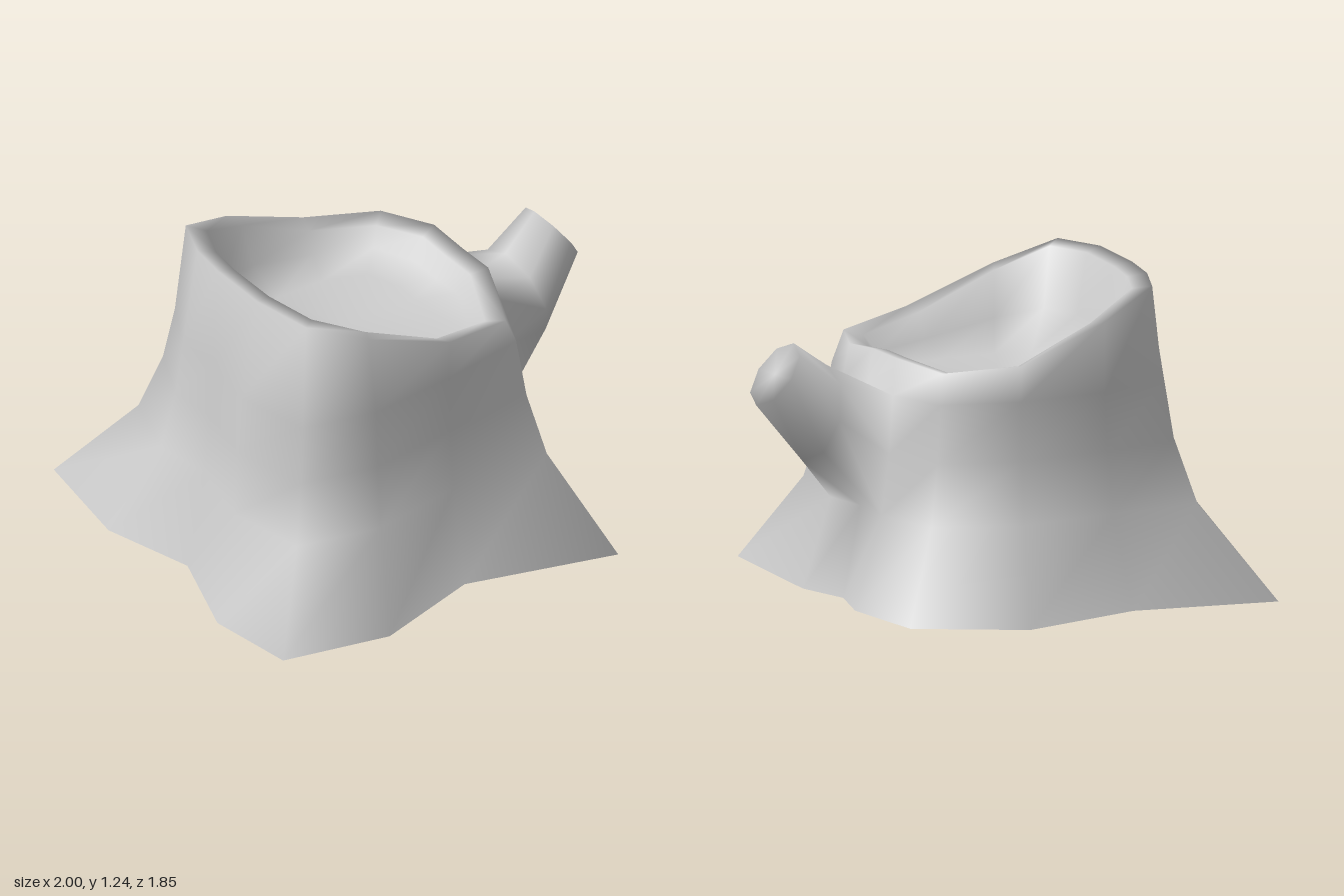
import * as THREE from 'three';
import { mergeVertices } from 'three/addons/utils/BufferGeometryUtils.js';

const V = (x, y, z) => new THREE.Vector3(x, y, z);
const { lerp } = THREE.MathUtils;

// Triangles between consecutive rings, leaving out the quads that isHole picks,
// then a fan that closes the last ring.
function skin(rings, isHole = () => false) {
  const n = rings[0].length, last = rings.at(-1);
  const corners = [];
  for (let r = 0; r < rings.length - 1; r++) {
    for (let i = 0; i < n; i++) {
      if (isHole(r, i)) continue;
      const j = (i + 1) % n;
      const a = rings[r][i], b = rings[r][j], c = rings[r + 1][i], d = rings[r + 1][j];
      corners.push(a, c, b, b, c, d);
    }
  }
  const centre = last.reduce((sum, p) => sum.add(p), V(0, 0, 0)).divideScalar(n);
  last.forEach((p, i) => corners.push(centre, last[(i + 1) % n], p));
  return corners;
}

// Root flare on the ground: x, z
const base = [
  [0.62, 0], [0.66, 0.24], [0.55, 0.92], [-0.06, 0.73], [-0.53, 0.86], [-0.97, 0.75], [-1, 0.37],
  [-0.83, -0.04], [-0.91, -0.44], [-0.8, -0.93], [-0.22, -0.8], [0.32, -0.92], [0.71, -0.66], [0.71, -0.24],
];
// Upper trunk: x, z
const shoulder = [
  [0.51, 0], [0.51, 0.19], [0.38, 0.49], [0, 0.55], [-0.38, 0.58], [-0.68, 0.5], [-0.73, 0.17],
  [-0.66, -0.1], [-0.65, -0.3], [-0.52, -0.52], [-0.22, -0.58], [0.16, -0.58], [0.46, -0.47], [0.52, -0.21],
];
// Slanted broken rim: x, y, z
const rim = [
  [0.49, 0.98, 0], [0.49, 0.97, 0.17], [0.32, 0.95, 0.5], [0, 1.0, 0.56], [-0.38, 1.14, 0.53],
  [-0.61, 1.23, 0.43], [-0.65, 1.24, 0.17], [-0.62, 1.23, -0.12], [-0.58, 1.22, -0.3], [-0.49, 1.21, -0.49],
  [-0.22, 1.11, -0.58], [0.15, 0.97, -0.57], [0.44, 0.95, -0.45], [0.51, 0.98, -0.2],
];
// Branch beyond its root: upper edge x, y; lower edge x, y; z centre; z half-width
const branchSections = [
  [0.66, 0.92, 0.77, 0.55, 0.06, 0.19],
  [0.83, 1.03, 1.0, 0.8, 0.025, 0.125],
];

export function createModel() {
  const group = new THREE.Group();
  group.name = 'treeStump';

  // Trunk: open underneath, flare blends into the shoulder, over the rim, into the hollow
  const wall = [[0, 0], [0.36, 0.7], [0.6, 0.9], [0.83, 1]].map(([y, t]) =>
    base.map(([x, z], i) => V(lerp(x, shoulder[i][0], t), y, lerp(z, shoulder[i][1], t))));
  const cx = -0.07;
  const inset = (s, height) => rim.map(([x, y, z]) => V(cx + (x - cx) * s, height(y), z * s));
  const trunk = skin([
    ...wall,
    inset(1, (y) => y),
    inset(0.87, (y) => y - 0.015),
    inset(0.78, (y) => 0.87 + (y - 0.95) * 0.4),
    inset(0.58, () => 0.83),
  ], (r, i) => (r === 1 || r === 2) && (i === 13 || i === 0));

  // Side branch: grows from the edge of the opening left in the trunk wall
  const [, low, mid, high] = wall;
  const root = [high[0], high[13], mid[13], low[13], low[0], low[1], mid[1], high[1]];
  const branch = skin([root, ...branchSections.map(([ux, uy, lx, ly, zc, zh]) =>
    root.map((_, k) => {
      const a = (k / root.length) * Math.PI * 2, c = Math.cos(a) / 2;
      return V((ux + lx) / 2 + (ux - lx) * c, (uy + ly) / 2 + (uy - ly) * c, zc - zh * Math.sin(a));
    }))]);

  // Weld both into one smooth skin
  const geometry = mergeVertices(new THREE.BufferGeometry().setFromPoints([...trunk, ...branch]));
  geometry.computeVertexNormals();
  const wood = new THREE.MeshStandardMaterial({ color: 0xcccccc, side: THREE.DoubleSide });
  const stump = new THREE.Mesh(geometry, wood);
  stump.name = 'trunkWithBranch';
  group.add(stump);

  return group;
}
